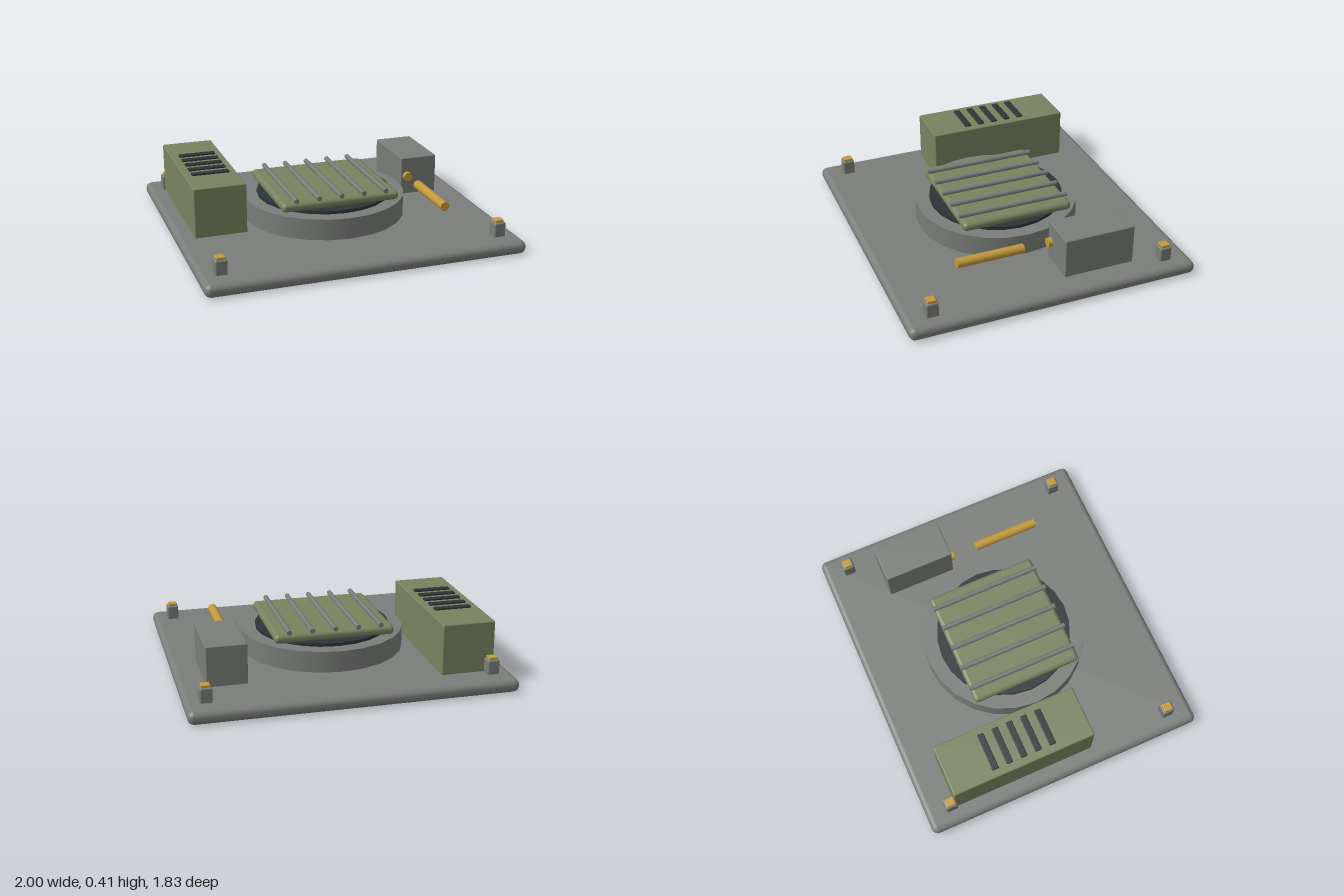
import * as THREE from 'three';
import { RoundedBoxGeometry } from 'three/addons/geometries/RoundedBoxGeometry.js';

const mat = (name, color) => {
  const m = new THREE.MeshStandardMaterial({ color });
  m.name = name;
  return m;
};

export function createModel() {
  const model = new THREE.Group();
  model.name = 'roofHatchPanel';
  const grey = mat('grey metal', 0x7a7d7a);
  const green = mat('olive green', 0x78835f);
  const dark = mat('dark slate', 0x2b3537);
  const gold = mat('brass', 0xc39a3a);

  const add = (name, geometry, material, x, y, z) => {
    const mesh = new THREE.Mesh(geometry, material);
    mesh.name = name;
    mesh.position.set(x, y, z);
    model.add(mesh);
    return mesh;
  };
  // Rounded box given by its min and max on each axis
  const box = (name, material, [x0, x1], [y0, y1], [z0, z1], r) =>
    add(name, new RoundedBoxGeometry(x1 - x0, y1 - y0, z1 - z0, 2, r), material,
      (x0 + x1) / 2, (y0 + y1) / 2, (z0 + z1) / 2);
  // Cylinder lying along z
  const rod = (name, material, r, x, y, z0, z1, sides) =>
    add(name, new THREE.CylinderGeometry(r, r, z1 - z0, sides).rotateX(Math.PI / 2), material,
      x, y, (z0 + z1) / 2);

  // Base plate
  box('basePlate', grey, [-1, 1], [0, 0.082], [-0.915, 0.915], 0.038);

  // Round hatch collar with dark seal
  add('hatchCollar', new THREE.CylinderGeometry(0.52, 0.52, 0.145, 24), grey, 0, 0.1435, 0);
  add('hatchSeal', new THREE.CylinderGeometry(0.43, 0.43, 0.04, 24), dark, 0, 0.216, 0);

  // Hatch lid with five ribs
  box('hatchLid', green, [-0.382, 0.382], [0.231, 0.288], [-0.36, 0.36], 0.026);
  for (let i = -2; i <= 2; i++) rod('lidRib', grey, 0.016, i * 0.146, 0.302, -0.362, 0.362, 10);

  // Vented cabinet
  box('ventCabinet', green, [-0.898, -0.567], [0.07, 0.4], [-0.722, 0.212], 0.008);
  for (let i = -2; i <= 2; i++) {
    const z = -0.238 + i * 0.095;
    box('ventSlot', dark, [-0.85, -0.612], [0.392, 0.411], [z - 0.021, z + 0.021], 0.004);
  }

  // Equipment box with two brass pipes
  box('equipmentBox', grey, [0.59, 0.84], [0.07, 0.333], [-0.56, -0.108], 0.006);
  rod('frontPipe', gold, 0.03, 0.632, 0.207, 0.076, 0.506, 12);
  rod('rearPipe', gold, 0.03, 0.632, 0.207, -0.4, -0.08, 12);

  // Corner posts with brass caps
  for (const x of [-0.875, 0.875]) {
    for (const z of [-0.75, 0.75]) {
      box('cornerPost', grey, [x - 0.037, x + 0.037], [0.07, 0.172], [z - 0.038, z + 0.038], 0.01);
      box('postCap', gold, [x - 0.027, x + 0.027], [0.165, 0.187], [z - 0.027, z + 0.027], 0.004);
    }
  }
  return model;
}
